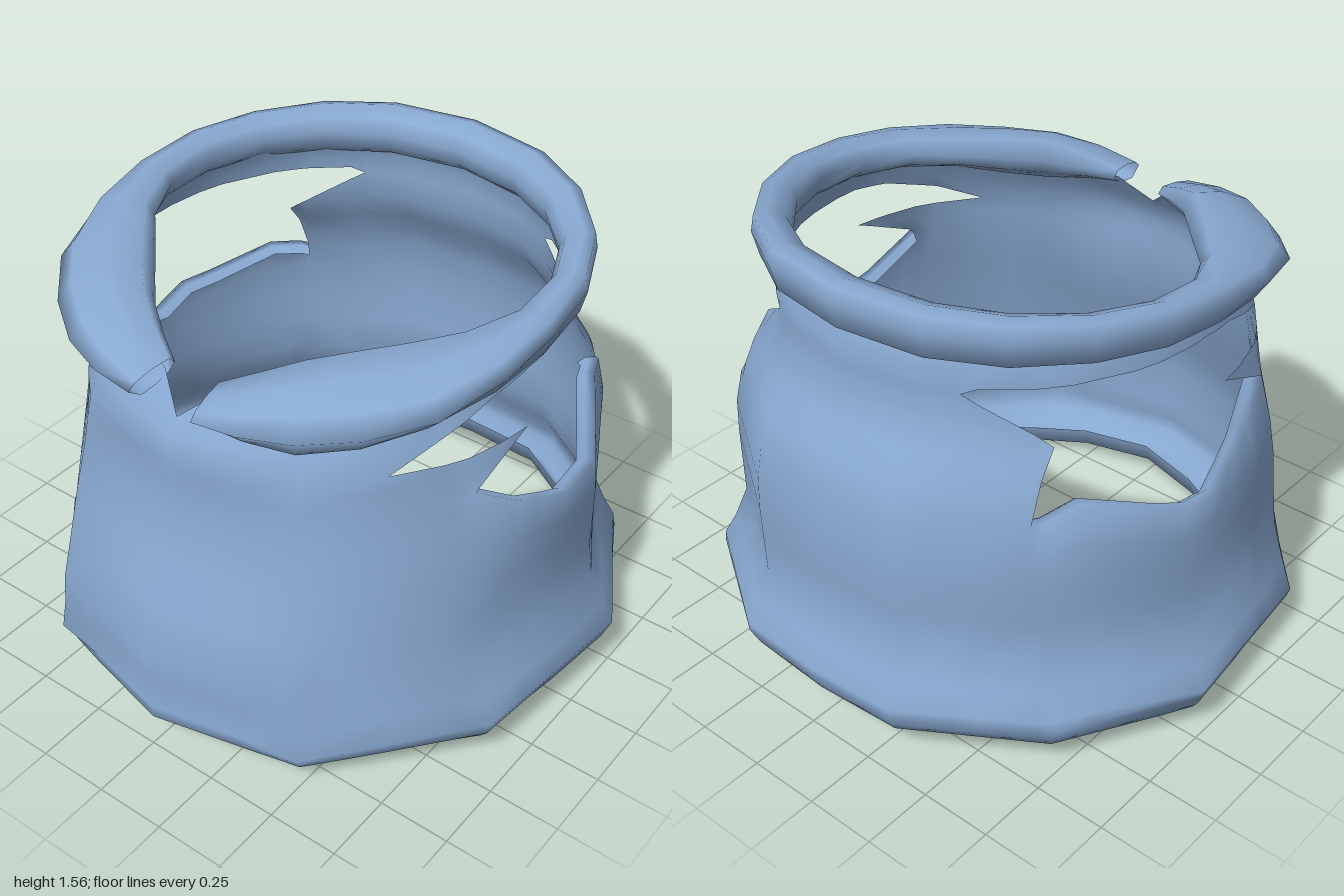
import * as THREE from 'three';
import { mergeVertices } from 'three/addons/utils/BufferGeometryUtils.js';

const rad = Math.PI / 180;

// Piecewise-linear lookup through [position, value] points
function lerpAt(points, t) {
  if (t <= points[0][0]) return points[0][1];
  for (let i = 1; i < points.length; i++) {
    const [a, va] = points[i - 1], [b, vb] = points[i];
    if (t <= b) return va + (vb - va) * (t - a) / (b - a);
  }
  return points[points.length - 1][1];
}

// Twelve-sided outline of the shell: x and z by angle from the front
const OUTLINE_X = [[0, 0], [30.4, 0.52], [66.7, 0.93], [103, 1], [133, 0.75], [162, 0.32], [180, 0]];
const OUTLINE_Z = [[0, 1], [30.4, 0.885], [66.7, 0.4], [103, -0.23], [133, -0.7], [162, -0.98], [180, -1]];

// Half-widths of the shell by height: front, back and sides
const FRONT = [[0, 0.84], [0.03, 0.9], [0.13, 1], [0.26, 0.97], [0.41, 1], [0.6, 0.93], [0.9, 0.83],
  [1.1, 0.835], [1.2, 0.8], [1.24, 0.76], [1.36, 0.68]];
const BACK = [[0.1, 0.94], [0.13, 0.96], [0.22, 1], [0.32, 0.95], [0.42, 0.91], [0.7, 0.92], [0.85, 0.91],
  [0.98, 0.88], [1.15, 0.77], [1.36, 0.77], [1.5, 0.7]];
const SIDE = [[0, 0.88], [0.05, 0.91], [0.1, 0.97], [0.2, 1.01], [0.3, 0.95], [0.42, 0.9], [0.82, 0.895],
  [0.87, 0.88], [1.03, 0.83], [1.13, 0.8], [1.28, 0.755], [1.36, 0.74], [1.46, 0.7]];

// Edge heights by angle from the front: hem, neckline, and the torn side openings
const HEM = [[0, 0.03], [18, 0.025], [30.4, 0.003], [66.7, 0.04], [103, 0.09], [133, 0.12], [180, 0.12]];
const NECK = [[0, 1.22], [8, 1.31], [20, 1.34], [90, 1.43], [180, 1.49]];
const LOWER = [[0, 1.02], [66.7, 1.02], [79, 0.9], [93.5, 0.82], [110, 0.88], [125, 0.95], [135, 0.91], [180, 0.91]];
const MID_LOW = [[0, 1.02], [66.7, 1.02], [84, 1.13], [131, 1.12], [133, 1.04], [135, 0.91], [180, 0.91]];
const MID_TOP = [[0, 1.13], [84, 1.13], [131, 1.12], [150, 1.28], [180, 1.28]];
const UPPER = [[0, 1.13], [49, 1.13], [61, 1.21], [76, 1.28], [87, 1.3], [146, 1.3], [150, 1.28], [180, 1.28]];
const ANGLES = [0, 8, 18, 30.4, 40, 49, 61, 66.7, 76, 79, 84, 87, 93.5, 103, 110, 125, 131, 133, 135, 146, 150,
  162, 180];

// Angular below, rounder towards the neck
function shellPoint(angle, y, scale = 1, lift = 0) {
  const a = Math.abs(angle);
  const round = THREE.MathUtils.smoothstep(y, 0.95, 1.2);
  const z = THREE.MathUtils.lerp(lerpAt(OUTLINE_Z, a), Math.cos(a * rad), round);
  const x = Math.sign(angle) * THREE.MathUtils.lerp(lerpAt(OUTLINE_X, a), Math.sin(a * rad), round);
  return [scale * x * lerpAt(SIDE, y), y + lift, scale * z * lerpAt(z > 0 ? FRONT : BACK, y)];
}

// Joins columns of points into quads
function addStrip(out, columns, closed = false) {
  for (let i = 0; i + 1 < columns.length; i++) {
    const p = columns[i], q = columns[i + 1];
    for (let j = 0; j < p.length - (closed ? 0 : 1); j++) {
      const k = (j + 1) % p.length;
      out.push(...p[j], ...q[j], ...q[k], ...p[j], ...q[k], ...p[k]);
    }
  }
}

function smoothGeometry(positions) {
  const g = new THREE.BufferGeometry();
  g.setAttribute('position', new THREE.Float32BufferAttribute(positions, 3));
  const merged = mergeVertices(g, 1e-4);
  merged.computeVertexNormals();
  return merged;
}

// Turns the sideways part of each normal radial, so the flat sides shade as one round wall
function roundNormals(g) {
  const p = g.attributes.position, n = g.attributes.normal;
  for (let i = 0; i < p.count; i++) {
    const x = p.getX(i), z = p.getZ(i);
    const side = Math.sign(x * n.getX(i) + z * n.getZ(i));
    const f = side * Math.hypot(n.getX(i), n.getZ(i)) / Math.hypot(x, z);
    n.setXYZ(i, x * f, n.getY(i), z * f);
  }
  return g;
}

const mirrored = [...ANGLES.slice(1).reverse().map(a => -a), ...ANGLES];

function bodyGeometry() {
  const out = [];
  const band = (angles, low, high, steps) => addStrip(out, angles.map(a => {
    const b = lerpAt(low, Math.abs(a)), t = lerpAt(high, Math.abs(a));
    return steps.map(s => shellPoint(a, b + (t - b) * s));
  }));
  // turned-in hem
  addStrip(out, mirrored.map(a => {
    const y = lerpAt(HEM, Math.abs(a));
    return [shellPoint(a, y, 0.91, 0.1), shellPoint(a, y, 0.93, 0.03), shellPoint(a, y)];
  }));
  // main wall, below the openings
  band(mirrored, HEM, LOWER, [0, 0.04, 0.09, 0.14, 0.24, 0.38, 0.55, 0.7, 0.85, 1]);
  for (const side of [1, -1]) {
    // torn point reaching into the opening from the back
    band(mirrored.filter(a => a * side >= 131), MID_LOW, MID_TOP, [0, 0.25, 0.5, 0.75, 1]);
    // narrow lip turned in along the lower edge of the opening
    addStrip(out, mirrored.filter(a => a * side >= 66 && a * side <= 135).map(a => {
      const y = lerpAt(LOWER, Math.abs(a));
      return [shellPoint(a, y), shellPoint(a, y, 0.96), shellPoint(a, y, 0.93, -0.02)];
    }));
  }
  // torn points reaching into the openings from the front
  band(mirrored.filter(a => Math.abs(a) <= 84), MID_LOW, MID_TOP, [0, 0.5, 1]);
  // neck strip above the openings, running up into the collar
  band(mirrored, UPPER, NECK, [0, 0.3, 0.6, 0.8, 1]);
  return roundNormals(smoothGeometry(out));
}

// Rolled collar: stations [angle, inner radius, outer radius, bottom, top]
const COLLAR = [[8, 0.68, 0.86, 1.265, 1.34], [18, 0.64, 0.88, 1.245, 1.39], [29, 0.61, 0.89, 1.225, 1.435],
  [42, 0.58, 0.89, 1.245, 1.45], [56, 0.58, 0.89, 1.29, 1.46], [72, 0.63, 0.85, 1.33, 1.48],
  [88, 0.68, 0.82, 1.355, 1.5], [105, 0.70, 0.82, 1.365, 1.52], [122, 0.70, 0.82, 1.375, 1.535],
  [140, 0.69, 0.82, 1.38, 1.55], [158, 0.68, 0.815, 1.385, 1.56], [180, 0.67, 0.805, 1.39, 1.565]];
// Cross-sections as fractions of width and height: leaning out in front, upright behind
const FLAP = [[1, 0.42], [0.85, 0.72], [0.5, 0.93], [0.12, 1], [0, 0.7], [0.15, 0.4], [0.45, 0.12], [0.75, 0]];
const ROLL = [[1, 0.6], [0.92, 0.93], [0.6, 1], [0.15, 0.85], [0, 0.55], [0.15, 0.2], [0.45, 0], [0.85, 0.12]];

function collarGeometry() {
  const out = [];
  const section = ([angle, inner, outer, low, high], side) => {
    const t = THREE.MathUtils.smoothstep(angle, 45, 100);
    return FLAP.map(([u, v], j) => {
      const r = THREE.MathUtils.lerp(inner, outer, THREE.MathUtils.lerp(u, ROLL[j][0], t));
      const y = THREE.MathUtils.lerp(low, high, THREE.MathUtils.lerp(v, ROLL[j][1], t));
      return [side * r * Math.sin(angle * rad), y, r * Math.cos(angle * rad)];
    });
  };
  const left = COLLAR.map(c => section(c, 1));
  const right = COLLAR.slice(0, -1).reverse().map(c => section(c, -1));
  addStrip(out, [...left, ...right], true);
  return smoothGeometry(out);
}

export function createModel() {
  const cloth = new THREE.MeshStandardMaterial({ color: 0x88a8d0, side: THREE.DoubleSide });
  cloth.name = 'blue cloth';
  const group = new THREE.Group();
  group.name = 'tornTunic';
  const add = (name, geometry) => {
    const mesh = new THREE.Mesh(geometry, cloth);
    mesh.name = name;
    group.add(mesh);
  };
  add('body', bodyGeometry());
  add('collar', collarGeometry());
  return group;
}
